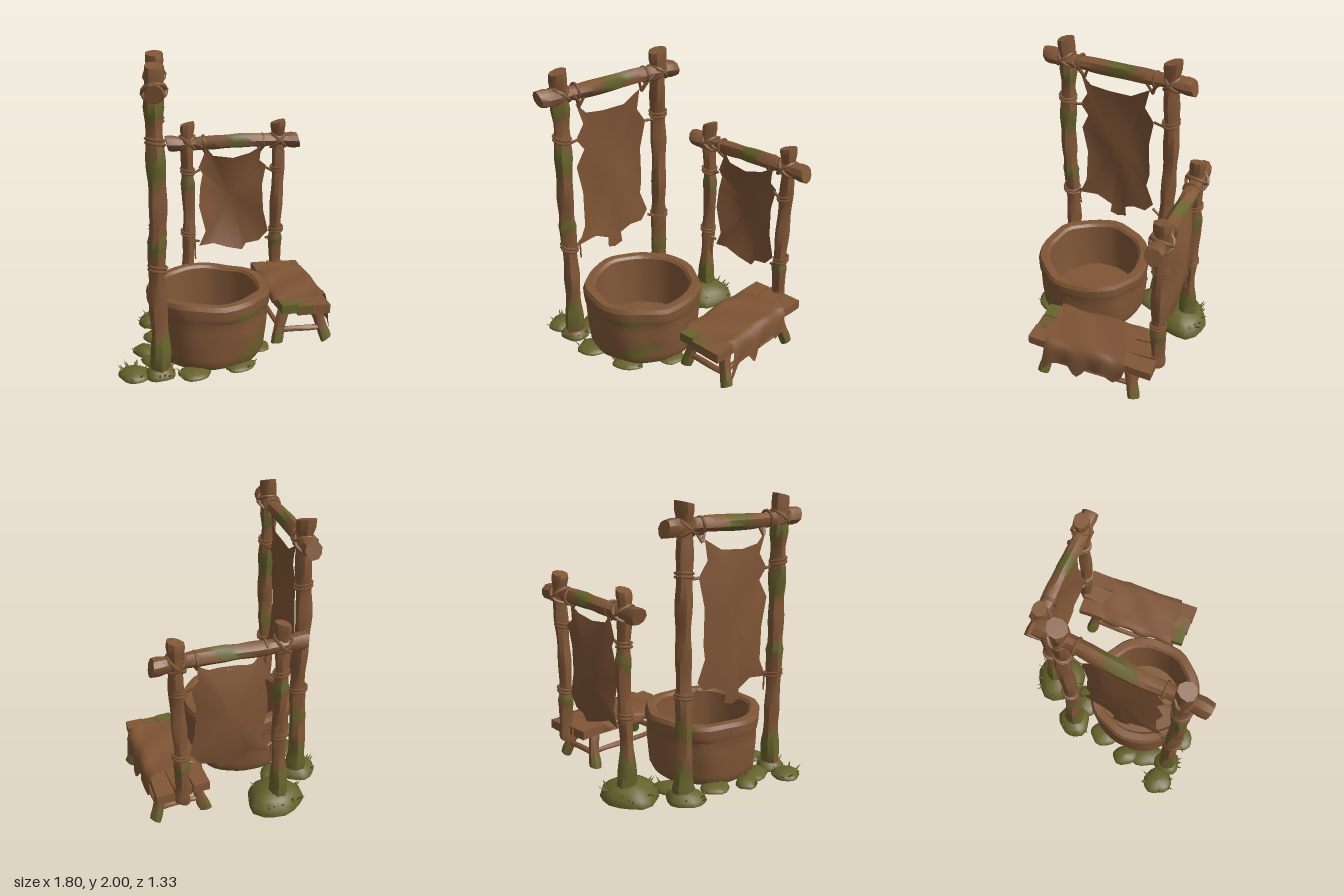
import * as THREE from 'three';
import { toCreasedNormals } from 'three/addons/utils/BufferGeometryUtils.js';

export function createModel() {
  const mat = (name, color, side = THREE.FrontSide) => {
    const m = new THREE.MeshStandardMaterial({ color, side });
    m.name = name;
    return m;
  };
  const wood = mat('wood', 0x805636);
  const moss = mat('moss', 0x67622c);
  const mossyWood = mat('mossy wood', 0x735a31);
  const hideMat = mat('hide', 0x7e5435, THREE.DoubleSide);
  const bark = [wood, moss, mossyWood];

  let seed = 7;
  const rand = () => (seed = (seed * 16807) % 2147483647) / 2147483647;
  const V = (x, y, z) => new THREE.Vector3(x, y, z);
  const model = new THREE.Group();

  const add = (parent, name, geo, material) => {
    const mesh = new THREE.Mesh(geo, material);
    mesh.name = name;
    parent.add(mesh);
    return mesh;
  };

  // Moves every vertex by a rule
  const bend = (geo, rule) => {
    const p = geo.attributes.position, v = V(0, 0, 0);
    for (let i = 0; i < p.count; i++) {
      rule(v.fromBufferAttribute(p, i));
      p.setXYZ(i, v.x, v.y, v.z);
    }
    geo.computeVertexNormals();
    return geo;
  };

  // Creases the geometry and picks a material for each triangle from its centre
  const paint = (geo, pick, crease = 0.7) => {
    const g = toCreasedNormals(geo, crease), p = g.attributes.position;
    g.clearGroups();
    let start = 0, last = -1;
    for (let i = 0; i <= p.count; i += 3) {
      let k = -2;
      if (i < p.count) {
        const c = V(0, 0, 0);
        for (let j = 0; j < 3; j++) c.add(V(p.getX(i + j), p.getY(i + j), p.getZ(i + j)));
        k = pick(c.divideScalar(3));
      }
      if (k !== last) {
        if (i > start) g.addGroup(start, i - start, last);
        start = i;
        last = k;
      }
    }
    return g;
  };

  // Knobbly log from a to b; spots are [distance along, half length] of swollen moss, root thickens the foot
  const log = (parent, name, a, b, r, { spots = [], flare = 0.2, rows = 22, root = 0 } = {}) => {
    const dir = b.clone().sub(a), L = dir.length(), ph = rand() * 6;
    const geo = bend(new THREE.CylinderGeometry(1, 1, L, 9, rows).translate(0, L / 2, 0), v => {
      const t = v.y / L, an = Math.atan2(v.x, v.z);
      const end = Math.max(0, 1 - Math.min(v.y, L - v.y) / 0.12);
      let k = r * (1 + flare * end + 0.07 * Math.sin(v.y * 19 + ph) + 0.06 * Math.sin(3 * an + v.y * 8 + ph));
      k *= 1 + root * Math.max(0, 1 - v.y / 0.4);
      for (const [y, h] of spots) k *= 1 + 0.17 * Math.exp(-(((v.y - y) / (h + 0.01)) ** 2));
      if (t < 0.001 || t > 0.999) {
        k *= 0.86;
        v.y += v.x * r * 0.3;
      }
      v.x = v.x * k + 0.007 * Math.sin(v.y * 5 + ph) * (1 - end);
      v.z = v.z * k + 0.007 * Math.cos(v.y * 6 + ph) * (1 - end);
    });
    const painted = paint(geo, c => {
      const wave = 0.03 * Math.sin(2 * Math.atan2(c.x, c.z) + ph);
      for (const [y, h] of spots) {
        const d = Math.abs(c.y - y + wave);
        if (d < h) return 1;
        if (d < h + 0.035) return 2;
      }
      return 0;
    });
    const mesh = add(parent, name, painted, bark);
    mesh.position.copy(a);
    mesh.quaternion.setFromUnitVectors(V(0, 1, 0), dir.normalize());
    return mesh;
  };

  const cord = (parent, pts, r = 0.01) => add(parent, 'cord',
    new THREE.TubeGeometry(new THREE.CatmullRomCurve3(pts), 8, r, 5), wood);

  // Stretched hide: outline shrunk in rings to its middle, with a shallow belly
  const hide = (parent, outline, belly) => {
    const n = outline.length, rings = [1, 0.85, 0.65, 0.45, 0.22], pos = [], idx = [];
    const cy = (outline[0][1] + outline[(n * 0.6) | 0][1]) / 2;
    for (const s of rings) for (const [x, y] of outline) {
      const px = x * s, py = cy + (y - cy) * s;
      pos.push(px, py, belly * (1 - s * s) + 0.01 * Math.sin(px * 13 + py * 7));
    }
    pos.push(0, cy, belly + 0.01 * Math.sin(cy * 7));
    const hub = rings.length * n;
    for (let i = 0; i < n; i++) {
      const j = (i + 1) % n;
      for (let k = 0; k < hub - n; k += n) idx.push(k + i, k + n + i, k + j, k + j, k + n + i, k + n + j);
      idx.push(hub - n + i, hub, hub - n + j);
    }
    const g = new THREE.BufferGeometry();
    g.setAttribute('position', new THREE.Float32BufferAttribute(pos, 3));
    g.setIndex(idx);
    g.computeVertexNormals();
    add(parent, 'hide', g, hideMat);
  };

  // Drying rack: two posts, a lashed beam, a hide and its ties
  const rack = o => {
    const g = new THREE.Group();
    g.name = o.name;
    g.position.set(o.x, 0, o.z);
    g.rotation.y = o.turn;
    model.add(g);
    log(g, 'beam', V(-o.beam, o.y, 0), V(o.beam, o.y, 0), 0.05, { spots: o.beamMoss, flare: 0.28 });
    [-1, 1].forEach((s, i) => {
      const x = s * o.half;
      log(g, 'post', V(x, o.feet[i], 0), V(x, o.top, 0), o.r, { spots: o.moss[i], flare: 0.3, rows: 40, root: o.root[i] });
      // Crossed lashing around the joint
      for (const tilt of [-0.75, 0.75]) {
        const t = add(g, 'lashing', new THREE.TorusGeometry(0.073, 0.012, 5, 12), wood);
        t.position.set(x, o.y, 0);
        t.rotation.set(Math.PI / 2 * 0.9, tilt, 0);
      }
      const loop = add(g, 'beam loop', new THREE.TorusGeometry(0.052, 0.011, 5, 12), wood);
      loop.position.set(x - s * 0.12, o.y, 0);
      loop.rotation.y = Math.PI / 2;
      // Side ties wrapped around the post
      for (const [hx, hy, py] of o.ties) {
        for (const dy of [0, 0.025]) {
          const w = add(g, 'post wrap', new THREE.TorusGeometry(o.r * 1.06, 0.01, 5, 12), wood);
          w.position.set(x, py + dy, 0);
          w.rotation.set(Math.PI / 2 + 0.15, s * 0.15, 0);
        }
        cord(g, [V(s * hx, hy, 0), V(s * (hx + o.half) / 2, (hy + py) / 2 - 0.012, 0.015), V(x - s * 0.02, py, o.r)]);
      }
      // Corner ties up to the beam
      const [cx, cy] = o.corner;
      cord(g, [V(s * cx, cy - 0.02, 0), V(s * (cx + 0.03), (cy + o.y) / 2, 0.03), V(s * (cx + 0.08), o.y, 0.045)], 0.013);
      cord(g, [V(s * cx, cy - 0.02, 0), V(s * (cx - 0.03), (cy + o.y) / 2, 0.02), V(s * (cx - 0.06), o.y, 0.04)]);
    });
    const [hx, hy] = o.ties[1];
    cord(g, [V(-hx - 0.03, hy, 0.01), V(-hx - 0.035, hy - 0.07, 0.015), V(-hx - 0.03, hy - 0.14, 0.01)], 0.006);
    hide(g, o.outline, o.belly);
  };

  rack({
    name: 'tall rack', x: -0.44, z: -0.015, turn: 1.024, half: 0.405, beam: 0.56, y: 1.83, top: 1.98, r: 0.054,
    feet: [0.02, 0.02], root: [0, 0.1], beamMoss: [[0.575, 0.08]], belly: -0.025, corner: [0.26, 1.74],
    moss: [[[0.16, 0.09], [0.88, 0.025], [1.35, 0.08], [1.7, 0.035]], [[0.12, 0.12], [0.48, 0.04]]],
    ties: [[0.28, 1.5, 1.52], [0.29, 0.76, 0.72]],
    outline: [[-0.29, 1.75], [-0.21, 1.67], [-0.07, 1.65], [0.1, 1.66], [0.24, 1.74], [0.21, 1.6], [0.28, 1.5],
      [0.24, 1.3], [0.25, 1.05], [0.23, 0.95], [0.29, 0.8], [0.23, 0.73], [0.13, 0.73], [0.03, 0.68], [0.06, 0.61],
      [-0.01, 0.59], [-0.07, 0.61], [-0.06, 0.68], [-0.18, 0.74], [-0.33, 0.72], [-0.27, 0.85], [-0.26, 1.1],
      [-0.3, 1.3], [-0.24, 1.42], [-0.3, 1.5], [-0.24, 1.6]],
  });
  rack({
    name: 'small rack', x: 0.435, z: -0.345, turn: -0.456, half: 0.345, beam: 0.5, y: 1.295, top: 1.44, r: 0.047,
    feet: [0.05, 0.22], root: [0.2, 0], beamMoss: [[0.54, 0.055]], belly: -0.05, corner: [0.21, 1.24],
    moss: [[[0.12, 0.13], [0.93, 0.03]], [[0.3, 0.02]]],
    ties: [[0.25, 1.09, 1.07], [0.26, 0.52, 0.58]],
    outline: [[-0.2, 1.25], [-0.15, 1.19], [0, 1.17], [0.13, 1.2], [0.22, 1.25], [0.21, 1.14], [0.26, 1.1],
      [0.23, 0.95], [0.24, 0.75], [0.28, 0.58], [0.21, 0.5], [0.11, 0.48], [0.08, 0.43], [-0.04, 0.46],
      [-0.15, 0.5], [-0.26, 0.48], [-0.21, 0.6], [-0.26, 0.8], [-0.25, 0.95], [-0.23, 1.05], [-0.26, 1.1]],
  });

  // Tub with a thick rim
  const profile = [[0, 0.015], [0.365, 0.015], [0.383, 0.05], [0.387, 0.09], [0.39, 0.13], [0.394, 0.17], [0.398, 0.22],
    [0.401, 0.28], [0.4, 0.34], [0.41, 0.365], [0.413, 0.385], [0.415, 0.44], [0.4, 0.468], [0.35, 0.468], [0.332, 0.45],
    [0.328, 0.37], [0.32, 0.22], [0.31, 0.08], [0, 0.08]].map(p => new THREE.Vector2(...p));
  const tubGeo = bend(new THREE.LatheGeometry(profile, 40), v => {
    const a = Math.atan2(v.x, v.z);
    const k = 1 + 0.012 * Math.sin(7 * a + v.y * 6) + 0.008 * Math.sin(11 * a);
    v.x *= k;
    v.z *= k;
    if (v.y > 0.35) v.y += 0.006 * Math.sin(5 * a);
  });
  const tub = add(model, 'tub', paint(tubGeo, c => {
    const a = Math.atan2(c.x, c.z), r = Math.hypot(c.x, c.z);
    if (c.y < 0.03) return 1;
    if (r < 0.34) return 0;
    // Slanting streak low on the front, and one under the rim
    const low = Math.hypot((a - 0.3) / 0.4, (c.y - 0.09 - 0.13 * a) / 0.045);
    const high = Math.hypot((a - 0.1) / 0.4, (c.y - 0.365) / 0.028);
    const near = Math.min(low, high);
    if (near < 0.75) return 1;
    return near < 1.15 || (c.y < 0.07 && Math.sin(4 * a) > 0.4) ? 2 : 0;
  }, 0.5), bark);
  tub.position.set(-0.17, 0, 0.185);

  // Bench of three planks on splayed legs, with a hide thrown over it
  const bench = new THREE.Group();
  bench.name = 'bench';
  bench.position.set(0.545, 0, 0.205);
  bench.rotation.y = -0.434;
  model.add(bench);
  [-1, 0, 1].forEach(i => {
    const len = 0.88 + 0.015 * i, ph = i * 2;
    const geo = bend(new THREE.BoxGeometry(0.118, 0.065, len, 2, 1, 10), v => {
      v.x *= 1 + 0.05 * Math.sin(v.z * 15 + ph);
      v.y += 0.008 * Math.sin(v.z * 9 + ph);
    });
    const plank = add(bench, 'plank', paint(geo, c => (c.z > 0.34 && i < 0 ? 1 : c.z > 0.37 && i === 0 ? 2 : 0)), bark);
    plank.position.set(i * 0.118, 0.286, -0.01);
    plank.rotation.y = -i * 0.02;
  });
  for (const sz of [-1, 1]) {
    for (const sx of [-1, 1])
      log(bench, 'leg', V(sx * 0.18, 0.015, sz * 0.34), V(sx * 0.11, 0.27, sz * 0.29), 0.038, { spots: [[0, 0.06]], flare: 0.1, rows: 6 });
    log(bench, 'leg brace', V(-0.17, 0.1, sz * 0.325), V(0.17, 0.1, sz * 0.325), 0.02, { flare: 0.1, rows: 6 });
    log(bench, 'long brace', V(sz * 0.15, 0.12, -0.34), V(sz * 0.15, 0.12, 0.34), 0.018, { flare: 0.1, rows: 6 });
  }
  const drape = bend(new THREE.PlaneGeometry(2, 0.58, 14, 20).rotateX(-Math.PI / 2), v => {
    const s = v.x, over = Math.max(0, Math.abs(s) - 0.6) / 0.4, lz = v.z;
    const drop = s > 0 ? 0.19 + 0.1 * lz + 0.035 * Math.sin(lz * 24 + 1) + 0.02 * Math.sin(lz * 47) : 0.05 + 0.02 * Math.sin(lz * 20);
    v.x = Math.sign(s) * (Math.min(Math.abs(s), 0.6) / 0.6 * 0.185 + Math.min(over, 0.2) * 0.06 + 0.012 * over * Math.sin(lz * 30));
    v.y = 0.335 + 0.006 * Math.sin(lz * 18 + s * 5) - over * drop;
    v.z = lz + 0.03 + 0.02 * Math.sin(s * 7);
  });
  add(bench, 'thrown hide', drape, hideMat);

  // Moss mounds with flat bottoms and blades of grass: x, z, width, depth, height, blades
  const mounds = [[0.115, -0.46, 0.205, 0.19, 0.13, 18], [-0.79, 0.245, 0.1, 0.11, 0.05, 14], [-0.65, 0.33, 0.1, 0.1, 0.07, 5],
    [-0.57, 0.01, 0.075, 0.1, 0.05, 5], [-0.25, -0.37, 0.14, 0.12, 0.08, 6], [-0.11, -0.27, 0.13, 0.1, 0.05, 3],
    [-0.38, -0.13, 0.1, 0.12, 0.04, 0], [-0.58, 0.18, 0.09, 0.13, 0.035, 0],
    [-0.46, 0.45, 0.11, 0.1, 0.035, 3], [-0.16, 0.55, 0.11, 0.07, 0.03, 3], [0.1, 0.38, 0.1, 0.09, 0.025, 0]];
  for (const [x, z, w, d, h, blades] of mounds) {
    const g = new THREE.Group();
    g.name = 'moss mound';
    g.position.set(x, 0, z);
    model.add(g);
    const ph = rand() * 6;
    add(g, 'moss', bend(new THREE.SphereGeometry(1, 16, 8), v => {
      const a = Math.atan2(v.x, v.z), k = 1 + 0.05 * Math.sin(3 * a + ph) + 0.04 * Math.sin(5 * a);
      v.set(v.x * w * k, Math.max(0, v.y) * h, v.z * d * k);
    }), moss);
    for (let i = 0; i < blades; i++) {
      const a = rand() * Math.PI * 2, q = 0.75 + 0.2 * rand(), len = 0.03 + 0.025 * rand();
      const blade = add(g, 'grass blade', new THREE.ConeGeometry(0.008, len, 4).translate(0, len / 2, 0), moss);
      blade.position.set(Math.sin(a) * w * q, h * Math.sqrt(1 - q * q) * 0.9, Math.cos(a) * d * q);
      blade.quaternion.setFromUnitVectors(V(0, 1, 0), V(Math.sin(a) * q, 0.8, Math.cos(a) * q).normalize());
    }
  }
  return model;
}
